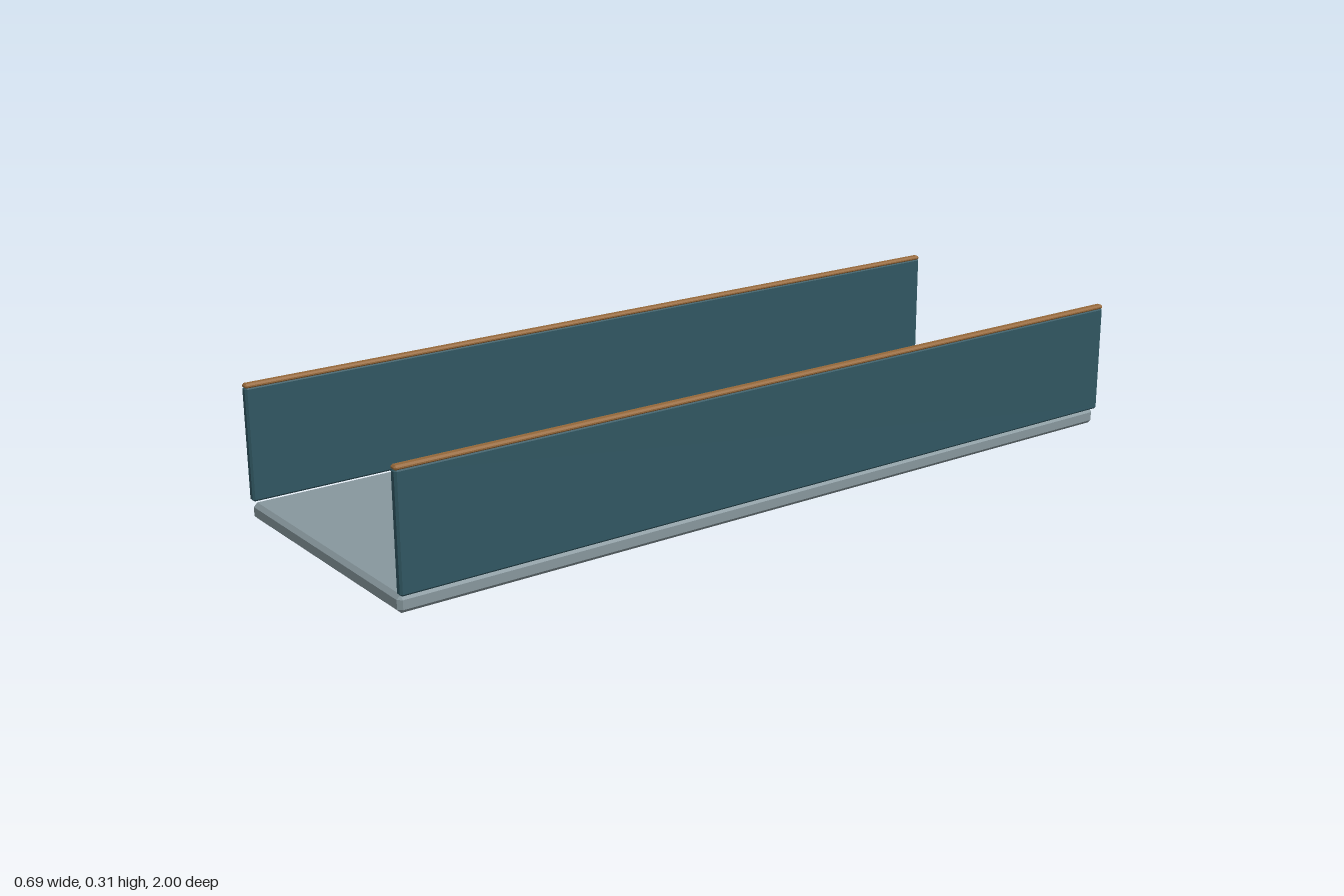
import * as THREE from 'three';
import { ConvexGeometry } from 'three/addons/geometries/ConvexGeometry.js';

// Box with every edge and corner bevelled by b
function bevelledBox(w, h, d, b) {
  const points = [];
  for (const x of [-1, 1]) for (const y of [-1, 1]) for (const z of [-1, 1]) {
    for (let axis = 0; axis < 3; axis++) {
      const inset = [b, b, b];
      inset[axis] = 0;
      points.push(new THREE.Vector3(
        x * (w / 2 - inset[0]), y * (h / 2 - inset[1]), z * (d / 2 - inset[2])));
    }
  }
  return new ConvexGeometry(points);
}

function addPart(group, name, color, [w, h, d], [x, y, z], bevel) {
  const material = new THREE.MeshStandardMaterial({ color, flatShading: true });
  const mesh = new THREE.Mesh(bevelledBox(w, h, d, bevel), material);
  mesh.name = name;
  mesh.position.set(x, y, z);
  group.add(mesh);
}

export function createModel() {
  const model = new THREE.Group();
  model.name = 'channelWalkway';

  // Floor slab
  addPart(model, 'floor', 0x87979d, [0.666, 0.039, 2], [0, 0.0195, 0], 0.009);

  // Side walls with a thin trim strip along the top
  for (const [side, s] of [['left', 1], ['right', -1]]) {
    addPart(model, side + 'Wall', 0x305661, [0.02, 0.264, 2], [s * 0.333, 0.173, 0], 0.0045);
    addPart(model, side + 'Trim', 0x95683a, [0.02, 0.011, 2], [s * 0.333, 0.3075, 0], 0.004);
  }
  return model;
}
